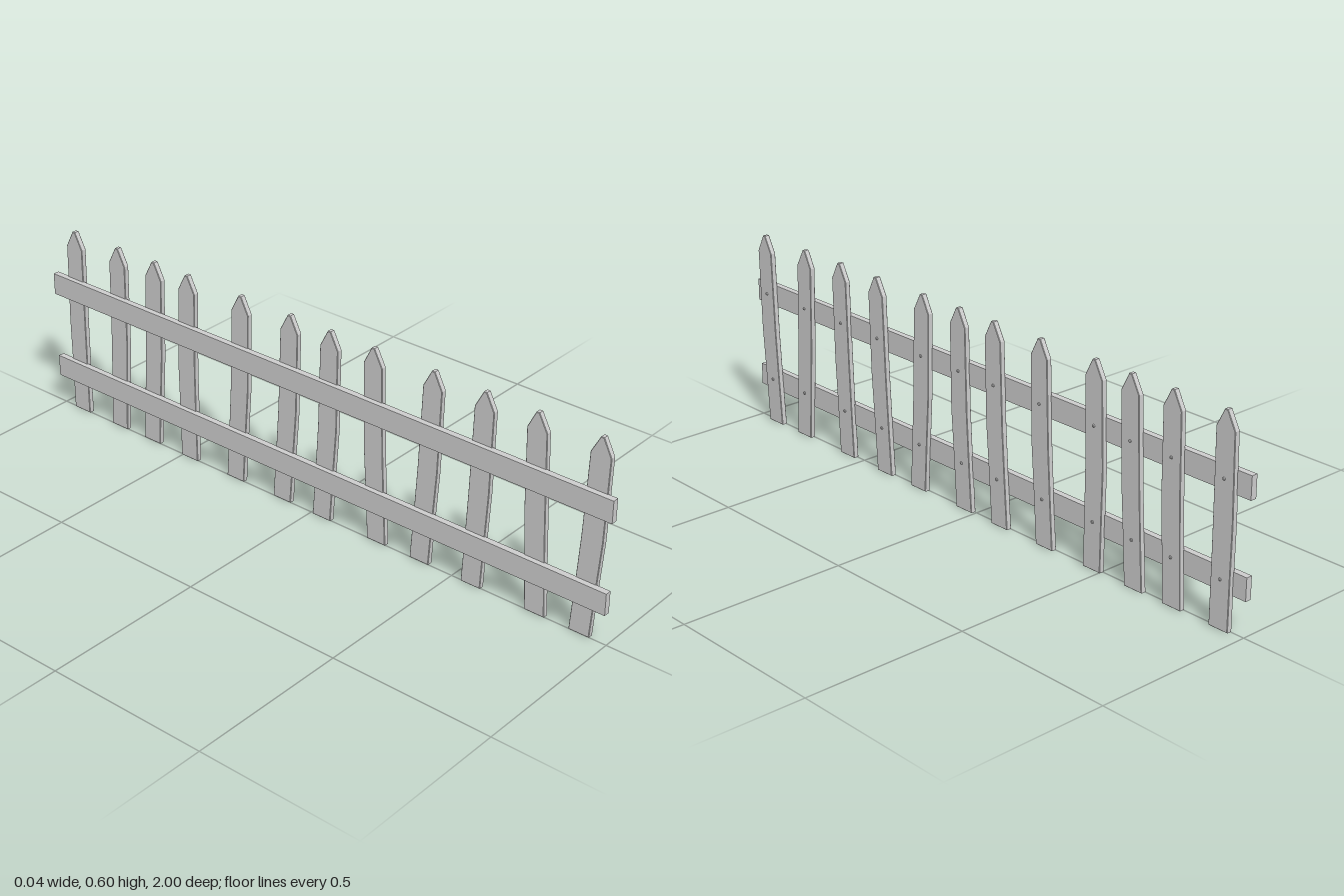
import * as THREE from 'three';

const material = new THREE.MeshStandardMaterial({ color: 0xcccccc, flatShading: true });

// z of each picket at the top, middle and bottom
const pickets = [
  [0.943, 0.935, 0.915], [0.750, 0.758, 0.774], [0.587, 0.580, 0.565],
  [0.418, 0.408, 0.388], [0.217, 0.222, 0.238], [0.066, 0.060, 0.040],
  [-0.079, -0.088, -0.110], [-0.260, -0.268, -0.289], [-0.464, -0.473, -0.471],
  [-0.597, -0.607, -0.627], [-0.743, -0.748, -0.763], [-0.919, -0.924, -0.924],
];
const HALF = 0.032, BACK = -0.002, FRONT = 0.015, BEVEL = 0.0015;

// Centre line of a picket at height y
function centreAt([top, mid, bottom], y) {
  return y > 0.3
    ? THREE.MathUtils.mapLinear(y, 0.3, 0.57, mid, top)
    : THREE.MathUtils.mapLinear(y, 0, 0.3, bottom, mid);
}

// Pointed, slightly bent board with softened edges
function picketGeometry(line) {
  const h = HALF - BEVEL;
  const rows = [[BEVEL, h], [0.16, h], [0.3, h * 1.03], [0.43, h], [0.548, h * 0.98], [0.598, 0.004]];
  const side = (s) => rows.map(([y, w]) => new THREE.Vector2(-centreAt(line, Math.min(y, 0.57)) + s * w, y));
  const shape = new THREE.Shape([...side(1), ...side(-1).reverse()]);
  const geometry = new THREE.ExtrudeGeometry(shape, {
    depth: FRONT - BACK - 2 * BEVEL, bevelEnabled: true,
    bevelThickness: BEVEL, bevelSize: BEVEL, bevelSegments: 1,
  });
  return geometry.rotateY(Math.PI / 2).translate(BACK + BEVEL, 0, 0);
}

export function createModel() {
  const group = new THREE.Group();
  group.name = 'picketFence';
  const add = (name, geometry, x, y, z) => {
    const mesh = new THREE.Mesh(geometry, material);
    mesh.name = name;
    mesh.position.set(x, y, z);
    group.add(mesh);
  };

  // Horizontal rails behind the pickets
  const rail = new THREE.BoxGeometry(0.019, 0.067, 2);
  add('lowerRail', rail, -0.0095, 0.135, 0);
  add('upperRail', rail, -0.0095, 0.412, 0);

  // Pickets, each nailed to both rails
  const nail = new THREE.CylinderGeometry(0.003, 0.005, 0.004, 8).rotateZ(-Math.PI / 2);
  pickets.forEach((line, i) => {
    const lean = (i % 3) * -0.001;
    add('picket', picketGeometry(line), lean, 0, 0);
    for (const y of [0.141, 0.416]) add('nail', nail, FRONT + lean + 0.0015, y, centreAt(line, y));
  });
  return group;
}
